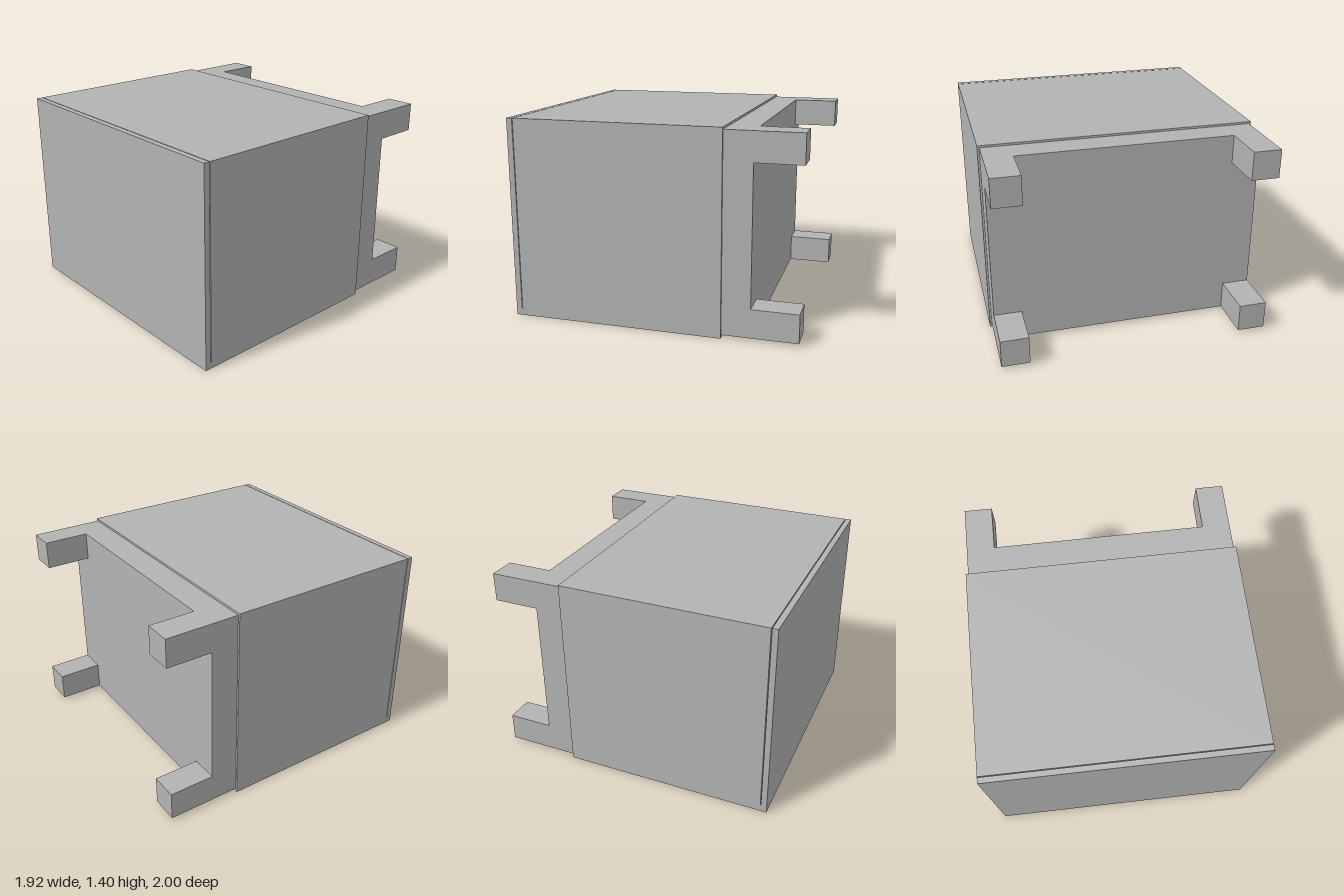
import * as THREE from 'three';

export function createModel() {
  const model = new THREE.Group();
  const grey = new THREE.MeshStandardMaterial({ color: 0xb3b3b3 });
  grey.name = 'plain grey';

  // Adds a box given by its lower and upper limits on each axis
  function block(name, [x0, x1], [y0, y1], [z0, z1]) {
    const mesh = new THREE.Mesh(new THREE.BoxGeometry(x1 - x0, y1 - y0, z1 - z0), grey);
    mesh.position.set((x0 + x1) / 2, (y0 + y1) / 2, (z0 + z1) / 2);
    mesh.name = name;
    model.add(mesh);
  }
  // Range on the left (+1) or right (-1) side
  const side = (s, a, b) => (s > 0 ? [a, b] : [-b, -a]);

  // Hood: top and both side walls in one piece, open underneath
  const hood = new THREE.Shape();
  [[-0.96, 0.05], [-0.75, 0.05], [-0.75, 1.2], [0.75, 1.2], [0.75, 0.05], [0.96, 0.05], [0.96, 1.4], [-0.96, 1.4]]
    .forEach(([x, y], i) => (i ? hood.lineTo(x, y) : hood.moveTo(x, y)));
  const hoodMesh = new THREE.Mesh(new THREE.ExtrudeGeometry(hood, { depth: 1.44, bevelEnabled: false }), grey);
  hoodMesh.position.z = -0.485;
  hoodMesh.name = 'hood';
  model.add(hoodMesh);

  // Front wall and its cover
  block('frontWall', [-0.75, 0.75], [0.05, 1.2], [0.8, 0.96]);
  block('frontCover', [-0.96, 0.96], [0.05, 1.4], [0.96, 1]);

  // Bottom rim
  block('frontRim', [-0.75, 0.75], [0, 0.05], [0.8, 1]);

  // Back panel
  block('backPanel', [-0.75, 0.75], [0.02, 1.385], [-0.68, -0.485]);

  for (const s of [1, -1]) {
    block('rimCorner', side(s, 0.75, 0.96), [0, 0.05], [0.8, 1]);
    block('sideRim', side(s, 0.75, 0.96), [0, 0.05], [-0.485, 0.8]);
    block('backSideStrip', side(s, 0.75, 0.945), [0.22, 1.185], [-0.68, -0.485]);
    // Legs projecting from the back corners
    block('lowerLeg', side(s, 0.75, 0.945), [0.02, 0.22], [-1, -0.485]);
    block('upperLeg', side(s, 0.75, 0.945), [1.185, 1.385], [-1, -0.485]);
  }
  return model;
}
